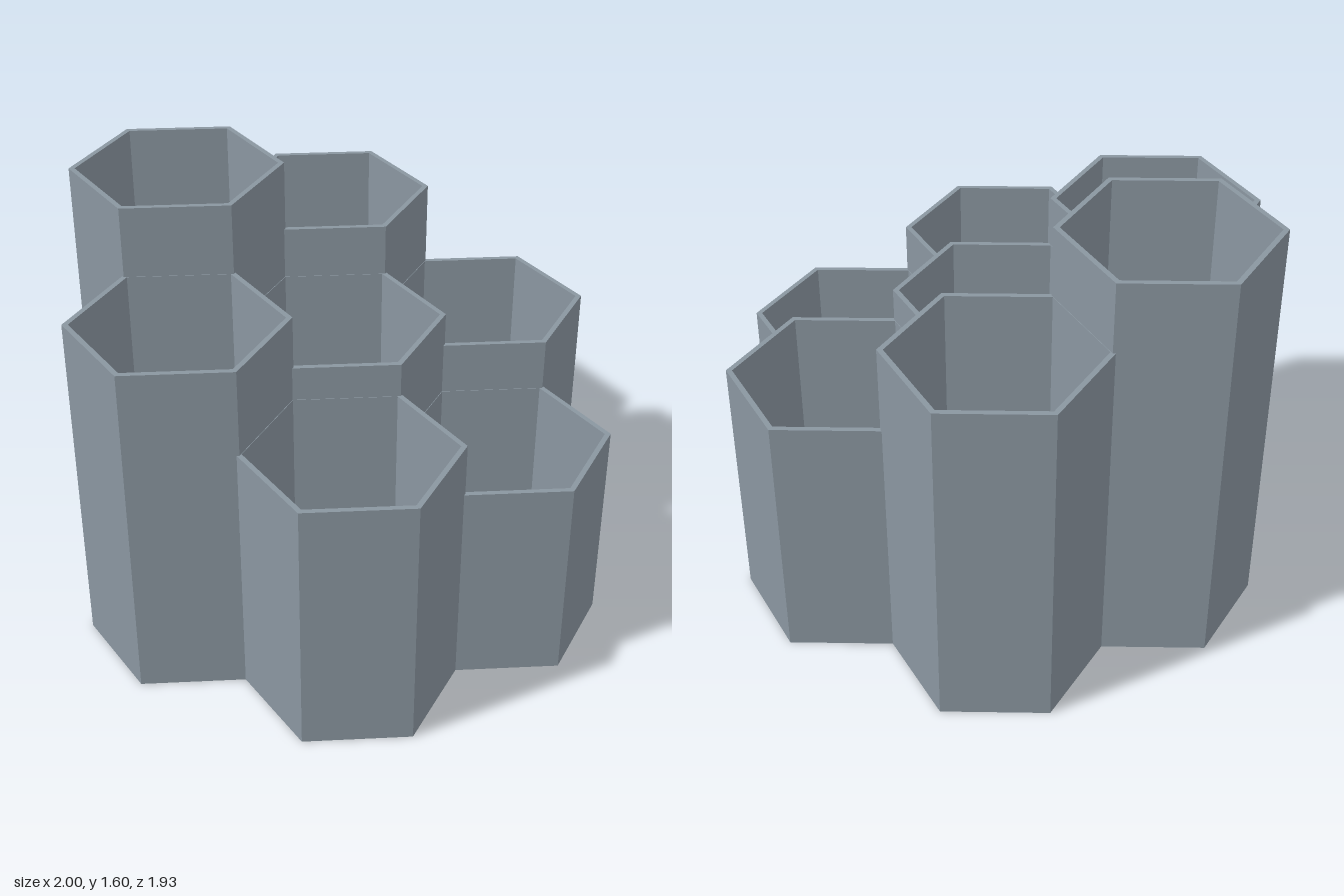
import * as THREE from 'three';

const PITCH = 0.661;    // distance between neighbouring cell centres
const OUTER = 0.339;    // centre to outer flat
const INNER = 0.32;     // centre to inner flat
const FLOOR = 0.03;     // thickness of the cup floor
const TO_CORNER = 2 / Math.sqrt(3);

// Open hexagonal cup with corners pointing along z
function cupGeometry(height) {
  const R = OUTER * TO_CORNER, r = INNER * TO_CORNER;
  const profile = [
    [0, 0], [R, 0], [R, height], [r, height], [r, FLOOR], [0, FLOOR],
  ].map(([x, y]) => new THREE.Vector2(x, y));
  const geometry = new THREE.LatheGeometry(profile, 6).toNonIndexed();
  geometry.computeVertexNormals();   // crisp flat faces
  return geometry;
}

export function createModel() {
  const group = new THREE.Group();
  group.name = 'hexagonalOrganizer';

  const slate = new THREE.MeshStandardMaterial({ color: 0x8a96a0 });
  slate.name = 'slateGrey';

  // name, column (in pitches), row, height
  const cups = [
    ['rightCup', -1, 0, 1.6],
    ['centreCup', 0, 0, 1.13],
    ['leftCup', 1, 0, 0.8],
    ['frontRightCup', -0.5, 1, 1.33],
    ['frontLeftCup', 0.5, 1, 1.0],
    ['backRightCup', -0.5, -1, 1.33],
    ['backLeftCup', 0.5, -1, 1.0],
  ];
  const rowStep = PITCH * Math.sqrt(3) / 2;

  for (const [name, column, row, height] of cups) {
    const cup = new THREE.Mesh(cupGeometry(height), slate);
    cup.name = name;
    cup.position.set(column * PITCH, 0, row * rowStep);
    group.add(cup);
  }
  return group;
}
